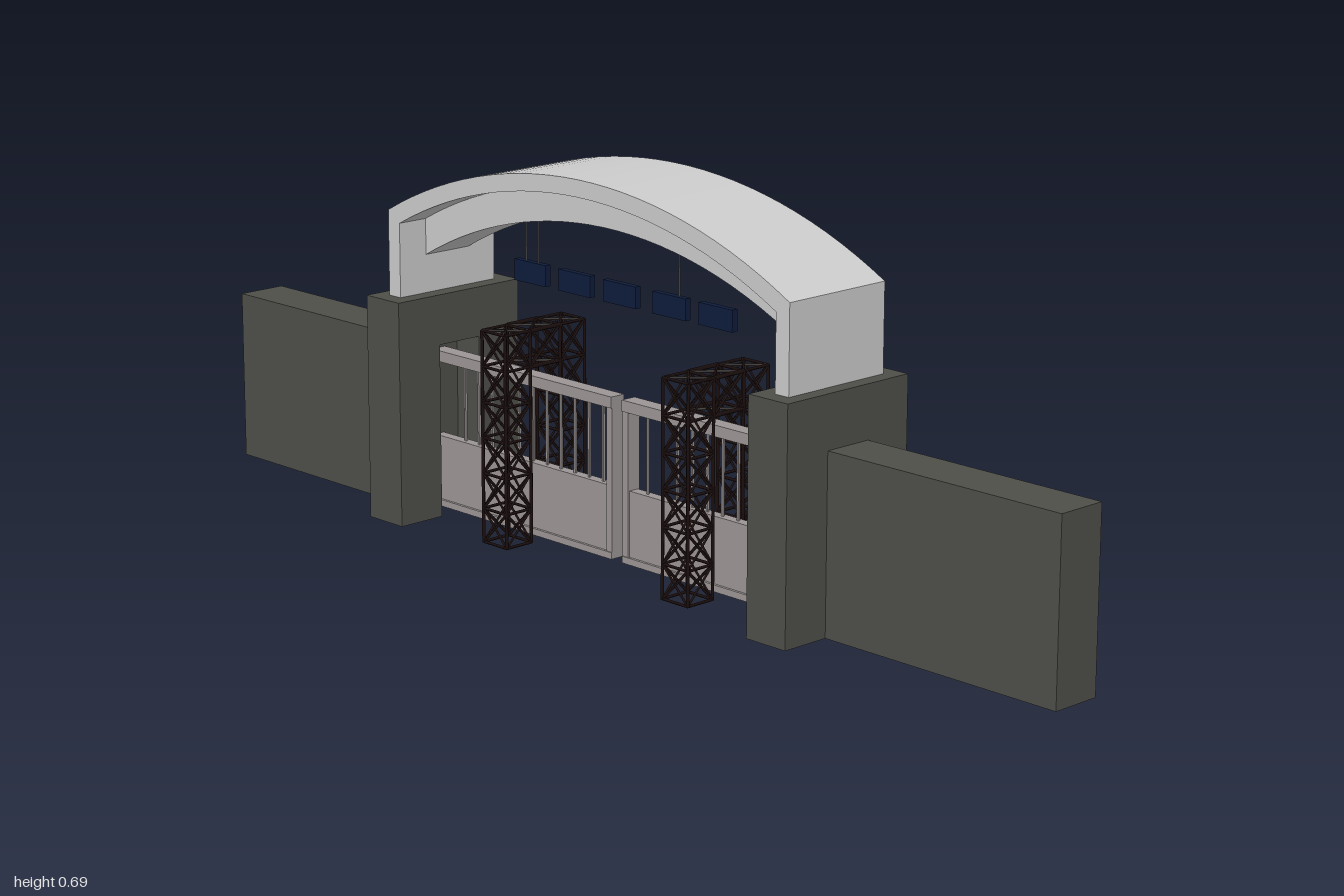
import * as THREE from 'three';
import { mergeGeometries, toCreasedNormals } from 'three/addons/utils/BufferGeometryUtils.js';

const mat = (color) => new THREE.MeshStandardMaterial({ color });
const stone = mat(0x4e4e49), concrete = mat(0xcccccc), gateGrey = mat(0x9c9595);
const iron = mat(0x1c0f0f), navy = mat(0x0e1c3c), wireGrey = mat(0x777777);

// Box given by its minimum and maximum corners
function boxGeo(x0, x1, y0, y1, z0, z1) {
  return new THREE.BoxGeometry(x1 - x0, y1 - y0, z1 - z0)
    .translate((x0 + x1) / 2, (y0 + y1) / 2, (z0 + z1) / 2);
}

function add(parent, name, geo, material) {
  const mesh = new THREE.Mesh(geo, material);
  mesh.name = name;
  parent.add(mesh);
  return mesh;
}

// Thin rod between two points
function rod(a, b, r, sides = 4) {
  const d = b.clone().sub(a);
  const q = new THREE.Quaternion().setFromUnitVectors(new THREE.Vector3(0, 1, 0), d.clone().normalize());
  const mid = a.clone().add(b).multiplyScalar(0.5);
  return new THREE.CylinderGeometry(r, r, d.length(), sides).applyQuaternion(q).translate(mid.x, mid.y, mid.z);
}

// Points on a circular arc from +half to -half, with given end and crown heights
function arc(half, yEnd, yTop, n = 28) {
  const sag = yTop - yEnd, R = (half * half + sag * sag) / (2 * sag), t = Math.asin(half / R);
  return Array.from({ length: n + 1 }, (_, i) => {
    const a = t - (2 * t * i) / n;
    return new THREE.Vector2(R * Math.sin(a), yTop - R + R * Math.cos(a));
  });
}

function extrudeZ(points, halfDepth) {
  const geo = new THREE.ExtrudeGeometry(new THREE.Shape(points), { depth: 2 * halfDepth, bevelEnabled: false });
  return toCreasedNormals(geo.translate(0, 0, -halfDepth), 0.4);
}

// Arched canopy: a shell on two legs, with a rib beneath
function canopy() {
  const g = new THREE.Group();
  g.name = 'canopy';
  const v = (x, y) => new THREE.Vector2(x, y);
  const shell = [v(0.49, 0.41), ...arc(0.49, 0.565, 0.69), v(-0.49, 0.41), v(-0.46, 0.41),
    ...arc(0.46, 0.545, 0.66).reverse(), v(0.46, 0.41)];
  add(g, 'canopyShell', extrudeZ(shell, 0.11), concrete);
  const rib = [...arc(0.46, 0.546, 0.661), ...arc(0.46, 0.48, 0.6).reverse()];
  add(g, 'canopyRib', extrudeZ(rib, 0.05), concrete);
  return g;
}

// Pillar with a slot for the gate, and the wall beside it
function side(s) {
  const g = new THREE.Group();
  g.name = s > 0 ? 'leftWallAndPillar' : 'rightWallAndPillar';
  const span = (a, b) => (s > 0 ? [a, b] : [-b, -a]);
  const slot = 0.046;
  const pillar = mergeGeometries([
    boxGeo(...span(0.43, 0.517), 0.003, 0.32, slot, 0.14),
    boxGeo(...span(0.43, 0.517), 0.003, 0.32, -0.14, -slot),
    boxGeo(...span(0.49, 0.517), 0.003, 0.32, -slot, slot),
    boxGeo(...span(0.43, 0.517), 0.32, 0.411, -0.14, 0.14),
  ]);
  add(g, 'pillar', pillar, stone);
  add(g, 'wall', boxGeo(...span(0.517, 1), 0.003, 0.317, -0.047, 0.047), stone);
  return g;
}

// Gate leaf: solid lower panel, top rail, stile and bars
function gateLeaf(s) {
  const g = new THREE.Group();
  g.name = s > 0 ? 'leftGateLeaf' : 'rightGateLeaf';
  const inner = s > 0 ? 0.006 : 0.02, outer = 0.488;
  const span = (a, b) => (s > 0 ? [a, b] : [-b, -a]);
  add(g, 'gatePanel', boxGeo(...span(inner, outer), 0.018, 0.138, -0.01, 0.01), gateGrey);
  add(g, 'topRail', boxGeo(...span(inner, outer), 0.277, 0.297, -0.015, 0.015), gateGrey);
  add(g, 'bottomRail', boxGeo(...span(inner, outer), 0.008, 0.02, -0.015, 0.015), gateGrey);
  add(g, 'stile', boxGeo(...span(inner, inner + 0.014), 0.018, 0.28, -0.013, 0.013), gateGrey);
  const bars = [];
  for (let x = 0.055; x < 0.45; x += 0.036) {
    bars.push(boxGeo(...span(x - 0.002, x + 0.002), 0.136, 0.28, -0.002, 0.002));
  }
  add(g, 'gateBars', mergeGeometries(bars), gateGrey);
  return g;
}

// Lattice portal: two braced columns joined by a braced bridge cell over the gate
function latticePortal(cx) {
  const hx = 0.03, z0 = 0.035, z1 = 0.093, H = 0.384, n = 6, h = H / n;
  const P = (x, y, z) => new THREE.Vector3(cx + x, y, z);
  const rods = [];
  const chord = (a, b) => rods.push(rod(a, b, 0.004));
  const brace = (a, b) => rods.push(rod(a, b, 0.0028));
  const cross = (a, b, c, d) => { brace(a, c); brace(b, d); };
  for (const s of [-1, 1]) {
    const ring = (y) => [P(-hx, y, s * z0), P(hx, y, s * z0), P(hx, y, s * z1), P(-hx, y, s * z1)];
    const base = ring(0.002), top = ring(H);
    base.forEach((p, i) => chord(p, top[i]));
    for (let k = 0; k <= n; k++) {
      const lo = ring(Math.max(0.003, k * h)), hi = ring((k + 1) * h);
      for (let i = 0; i < 4; i++) {
        const j = (i + 1) % 4;
        brace(lo[i], lo[j]);
        if (k < n) cross(lo[i], lo[j], hi[j], hi[i]);
      }
    }
    cross(...top);
  }
  for (const x of [-hx, hx]) {
    for (const y of [H - h, H]) chord(P(x, y, -z0), P(x, y, z0));
    cross(P(x, H - h, -z0), P(x, H - h, z0), P(x, H, z0), P(x, H, -z0));
  }
  for (const y of [H - h, H]) cross(P(-hx, y, -z0), P(hx, y, -z0), P(hx, y, z0), P(-hx, y, z0));
  return mergeGeometries(rods);
}

export function createModel() {
  const model = new THREE.Group();
  model.name = 'gateway';
  model.add(canopy());
  for (const s of [-1, 1]) {
    model.add(side(s), gateLeaf(s));
  }
  add(model, 'rightLatticePortal', latticePortal(-0.233), iron);
  add(model, 'leftLatticePortal', latticePortal(0.217), iron);

  // Hanging signs under the canopy and their wires
  for (const x of [-0.235, -0.122, -0.01, 0.11, 0.22]) {
    add(model, 'hangingSign', boxGeo(x - 0.04, x + 0.04, 0.458, 0.496, -0.006, 0.006), navy);
  }
  for (const [x, y] of [[-0.25, 0.57], [-0.218, 0.575], [0.13, 0.595]]) {
    add(model, 'signWire', rod(new THREE.Vector3(x, 0.49, 0), new THREE.Vector3(x, y, 0), 0.0015, 6), wireGrey);
  }
  return model;
}
